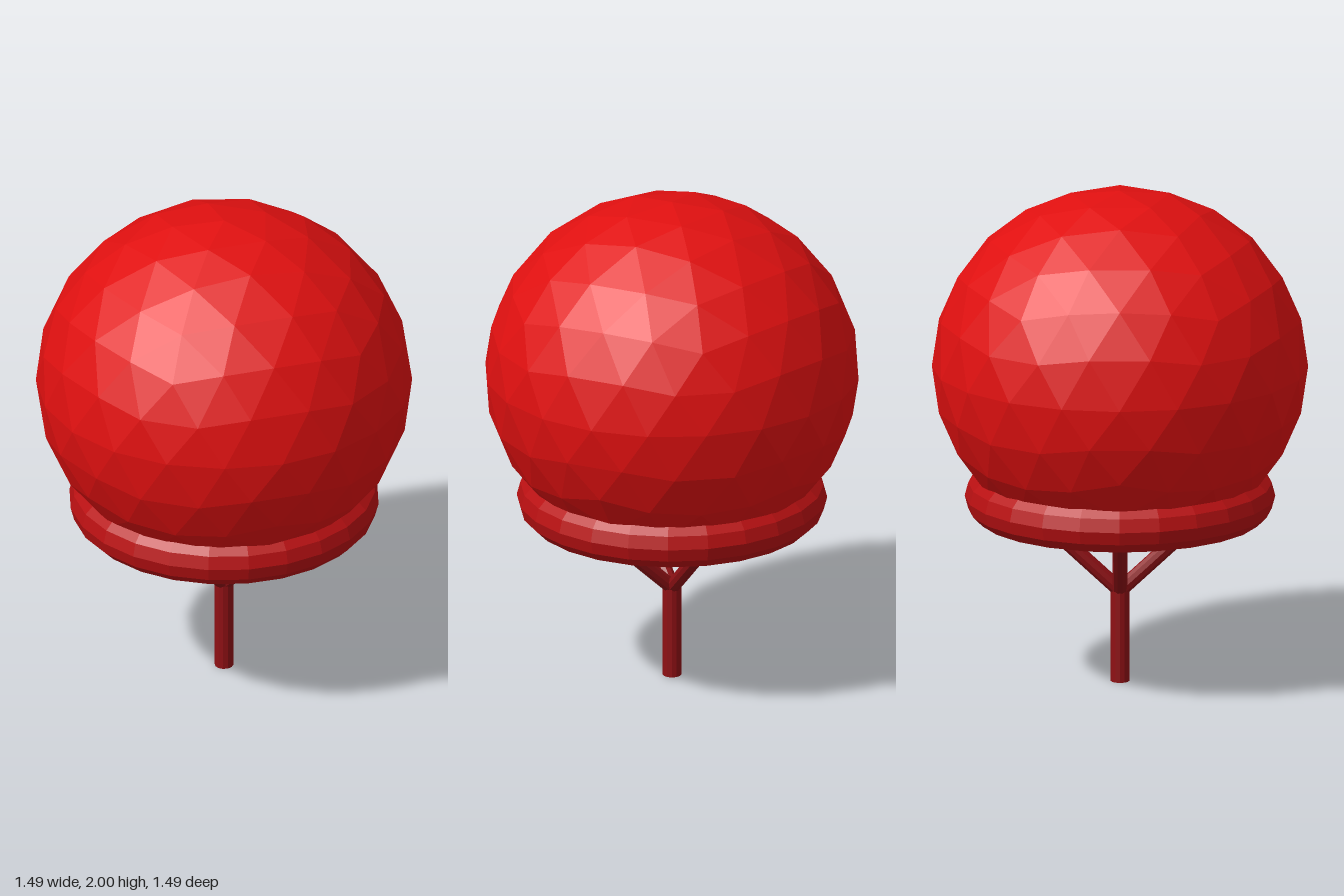
import * as THREE from 'three';

const bulbRed = new THREE.MeshStandardMaterial({ name: 'bright red', color: 0xe01010 });
const ringRed = new THREE.MeshStandardMaterial({ name: 'mid red', color: 0xb81012 });
const stemRed = new THREE.MeshStandardMaterial({ name: 'dark red', color: 0x8e1014 });

// Give every face its own normal for a faceted look
function facet(geometry) {
  const g = geometry.index ? geometry.toNonIndexed() : geometry;
  g.computeVertexNormals();
  return g;
}

// Icosahedron standing on a vertex, subdivided twice onto the sphere
function icosphere() {
  const points = [0, 1, 0, 0, -1, 0];
  const faces = [];
  const h = 1 / Math.sqrt(5), r = 2 * h;
  for (let i = 0; i < 5; i++) {
    const a = (i * 2 * Math.PI) / 5, b = a + Math.PI / 5;
    points.push(r * Math.cos(a), h, r * Math.sin(a), r * Math.cos(b), -h, r * Math.sin(b));
    const u = 2 + 2 * i, l = u + 1;
    const u2 = 2 + 2 * ((i + 1) % 5), l2 = u2 + 1;
    faces.push(0, u2, u, u, u2, l, u2, l2, l, l, l2, 1);
  }
  const once = new THREE.PolyhedronGeometry(points, faces, 1, 1).attributes.position;
  const order = Array.from({ length: once.count }, (_, i) => i);
  return new THREE.PolyhedronGeometry(Array.from(once.array), order, 1, 1);
}

// Cylinder running between two points
function rod(from, to, radius, sides) {
  const dir = to.clone().sub(from);
  const g = new THREE.CylinderGeometry(radius, radius, dir.length(), sides);
  g.applyQuaternion(new THREE.Quaternion().setFromUnitVectors(
    new THREE.Vector3(0, 1, 0), dir.clone().normalize()));
  const mid = from.clone().add(to).multiplyScalar(0.5);
  return facet(g.translate(mid.x, mid.y, mid.z));
}

export function createModel() {
  const model = new THREE.Group();
  model.name = 'bulbOnStem';
  const add = (name, geometry, material) => {
    const mesh = new THREE.Mesh(geometry, material);
    mesh.name = name;
    model.add(mesh);
    return mesh;
  };

  // Slightly flattened faceted ball
  add('bulb', facet(icosphere().scale(0.745, 0.715, 0.745).translate(0, 1.285, 0)), bulbRed);

  // Collar around the underside of the ball
  const ring = new THREE.TorusGeometry(0.51, 0.105, 12, 24).rotateX(Math.PI / 2);
  add('collarRing', facet(ring.translate(0, 0.757, 0)), ringRed);

  // Upright stem
  add('stem', rod(new THREE.Vector3(0, 0, 0), new THREE.Vector3(0, 0.37, 0), 0.037, 12), stemRed);

  // Four struts branching from the stem into the ball
  for (let i = 0; i < 4; i++) {
    const strut = add('strut', rod(new THREE.Vector3(0, 0.37, 0),
      new THREE.Vector3(0.36, 0.705, 0), 0.03, 10), stemRed);
    strut.rotation.y = (i * Math.PI) / 2;
  }
  return model;
}
